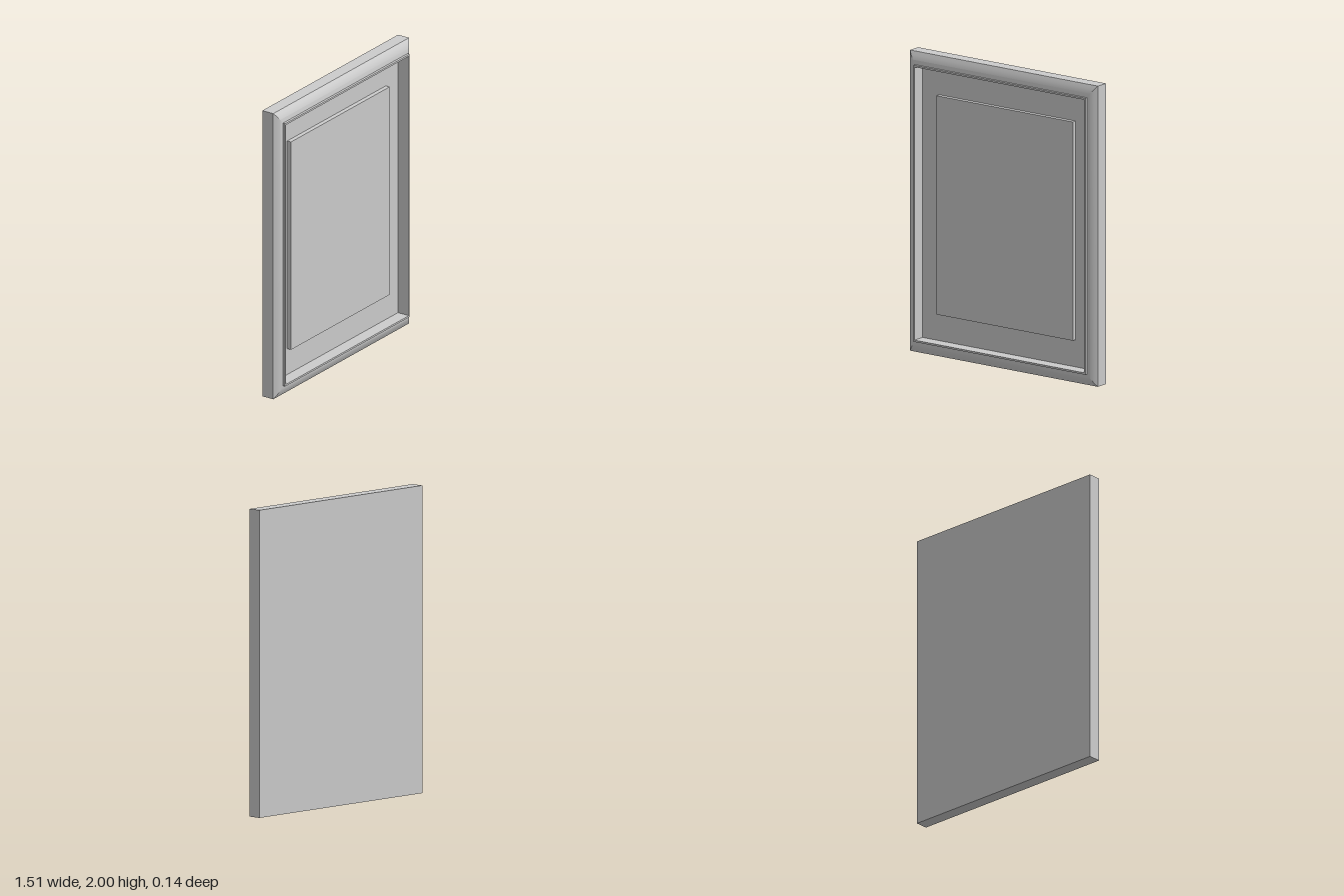
import * as THREE from 'three';
import { toCreasedNormals } from 'three/addons/utils/BufferGeometryUtils.js';

const HALF_W = 0.755, HALF_H = 1;
const BACK_Z = -0.068, FLOOR_Z = -0.018;

// Sweeps a profile of [half width, half height, z] around a mitred rectangle
function rectangularSweep(profile) {
  const corners = [[-1, -1], [1, -1], [1, 1], [-1, 1]];
  const positions = [];
  const point = ([w, h, z], k) => [corners[k % 4][0] * w, corners[k % 4][1] * h, z];
  for (let i = 0; i < profile.length - 1; i++) {
    for (let k = 0; k < 4; k++) {
      const a = point(profile[i], k), b = point(profile[i], k + 1);
      const c = point(profile[i + 1], k + 1), d = point(profile[i + 1], k);
      positions.push(...a, ...b, ...c, ...a, ...c, ...d);
    }
  }
  const geometry = new THREE.BufferGeometry();
  geometry.setAttribute('position', new THREE.Float32BufferAttribute(positions, 3));
  return toCreasedNormals(geometry, 0.4);
}

export function createModel() {
  const group = new THREE.Group();
  const material = new THREE.MeshStandardMaterial({ color: 0xcccccc });
  const add = (name, geometry, z = 0) => {
    const mesh = new THREE.Mesh(geometry, material);
    mesh.name = name;
    mesh.position.set(0, HALF_H, z);
    group.add(mesh);
    return mesh;
  };

  // Moulded frame: square side, rounded bevel, narrow raised lip, recess wall
  const lipW = 0.692, lipH = 0.92, innerW = 0.683, innerH = 0.908;
  const bevel = [[0, 0.018], [0.3, 0.033], [0.65, 0.045], [1, 0.051]].map(([t, z]) => [
    THREE.MathUtils.lerp(HALF_W, lipW, t), THREE.MathUtils.lerp(HALF_H, lipH, t), z,
  ]);
  add('frame', rectangularSweep([
    [HALF_W, HALF_H, BACK_Z],
    ...bevel,
    [lipW, lipH, 0.068],
    [innerW, innerH, 0.068],
    [innerW, innerH, FLOOR_Z],
  ]));

  // Flat back and recessed floor
  add('back', new THREE.PlaneGeometry(2 * HALF_W, 2 * HALF_H), BACK_Z).rotation.y = Math.PI;
  add('recessFloor', new THREE.PlaneGeometry(2 * innerW, 2 * innerH), FLOOR_Z);

  // Raised centre panel
  const panelDepth = 0.03;
  add('centrePanel', new THREE.BoxGeometry(1.098, 1.455, panelDepth), FLOOR_Z + panelDepth / 2);

  return group;
}
